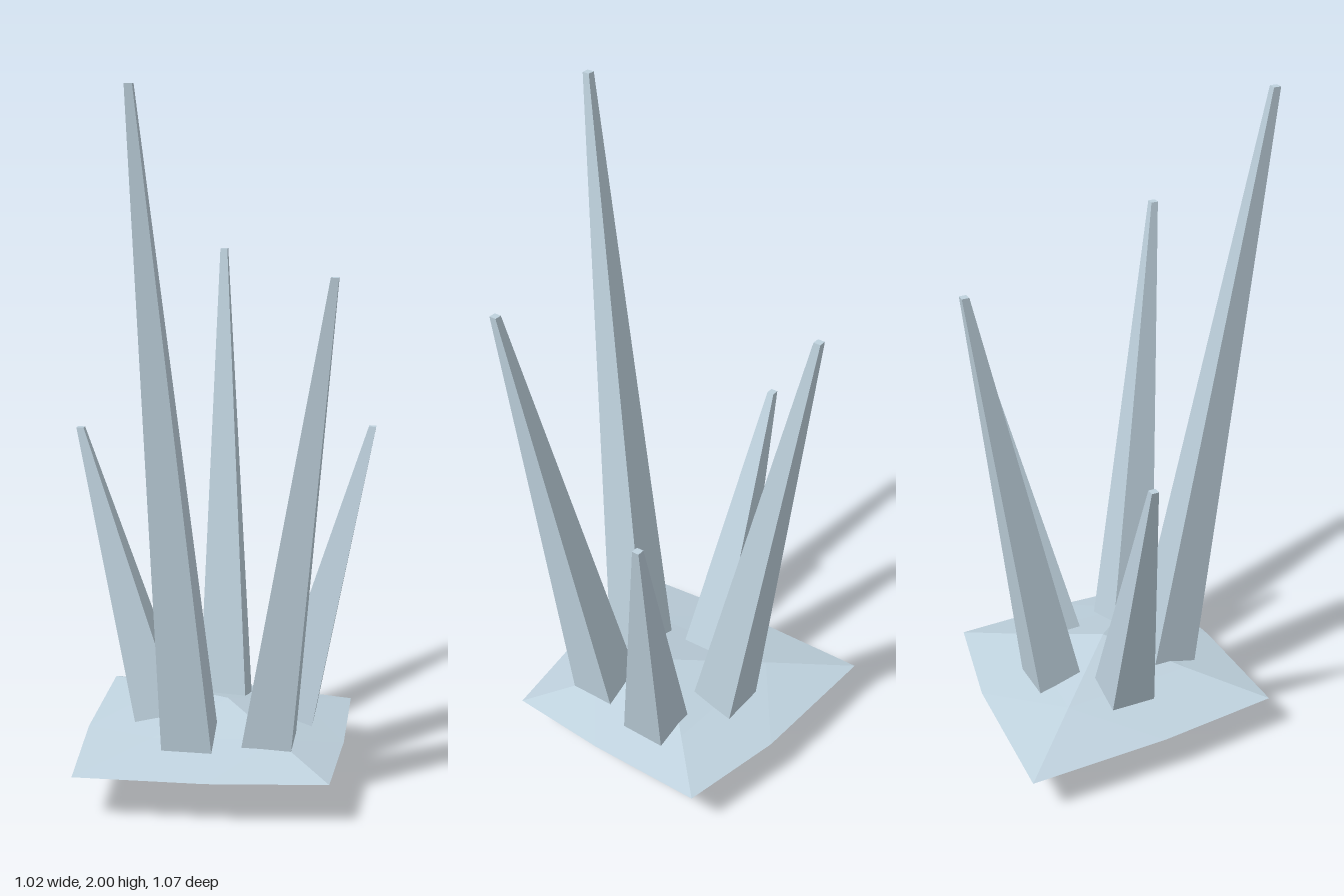
import * as THREE from 'three';

const material = new THREE.MeshStandardMaterial({ color: 0xbfd2de, flatShading: true });

// Height at which the spikes are rooted inside the rock.
const ROOT_Y = 0.12;

// Rim of the rock, counter-clockwise from above: corners alternate with edge midpoints.
const RIM_Y = 0.13;
const rim = [
  [0.51, 0.07], [0.33, -0.20], [0.03, -0.53], [-0.27, -0.22],
  [-0.51, 0.07], [-0.24, 0.325], [0.03, 0.53], [0.26, 0.325],
].map(([x, z]) => [x, RIM_Y, z]);

// One half of the rock: apex, four mid points and the rim.
function addHalf(out, apex, mids, upper) {
  const tri = (a, b, c) => out.push(...a, ...(upper ? b : c), ...(upper ? c : b));
  for (let k = 0; k < 4; k++) {
    const m = mids[k], n = mids[(k + 1) % 4];
    const corner = rim[2 * k], edge = rim[2 * k + 1], next = rim[(2 * k + 2) % 8];
    tri(apex, m, n);
    tri(m, corner, edge);
    tri(m, edge, n);
    tri(n, edge, next);
  }
}

function createRock() {
  const pos = [];
  addHalf(pos, [0.03, 0.24, 0.07],
    [[0.30, 0.175, 0.07], [0.03, 0.185, -0.24], [-0.24, 0.18, 0.07], [0.03, 0.186, 0.30]], true);
  addHalf(pos, [0.03, 0, 0.07],
    [[0.22, 0.077, 0.07], [0.03, 0.065, -0.23], [-0.23, 0.064, 0.07], [0.03, 0.07, 0.27]], false);
  const geo = new THREE.BufferGeometry();
  geo.setAttribute('position', new THREE.Float32BufferAttribute(pos, 3));
  geo.computeVertexNormals();
  const mesh = new THREE.Mesh(geo, material);
  mesh.name = 'rockBase';
  return mesh;
}

// Four-sided tapered spike, sheared so that its tip lands on the given point.
function createSpike(name, [x, z], [tx, ty, tz]) {
  const h = ty - ROOT_Y;
  const geo = new THREE.CylinderGeometry(0.015, 0.103, h, 4).translate(0, h / 2, 0);
  const p = geo.attributes.position;
  for (let i = 0; i < p.count; i++) {
    const t = p.getY(i) / h;
    p.setX(i, p.getX(i) + (tx - x) * t);
    p.setZ(i, p.getZ(i) + (tz - z) * t);
  }
  geo.computeVertexNormals();
  const mesh = new THREE.Mesh(geo, material);
  mesh.name = name;
  mesh.position.set(x, ROOT_Y, z);
  return mesh;
}

export function createModel() {
  const model = new THREE.Group();
  model.name = 'spikeCluster';
  model.add(createRock());
  // name, root (x, z), tip (x, y, z)
  const spikes = [
    ['frontSpike', [0.03, 0.255], [0.03, 1.515, 0.52]],
    ['frontLeftSpike', [0.205, 0.13], [0.455, 1.025, 0.205]],
    ['frontRightSpike', [-0.145, 0.13], [-0.395, 2.0, 0.215]],
    ['backLeftSpike', [0.135, -0.08], [0.285, 1.515, -0.293]],
    ['backRightSpike', [-0.085, -0.08], [-0.24, 1.025, -0.288]],
  ];
  for (const s of spikes) model.add(createSpike(...s));
  return model;
}
